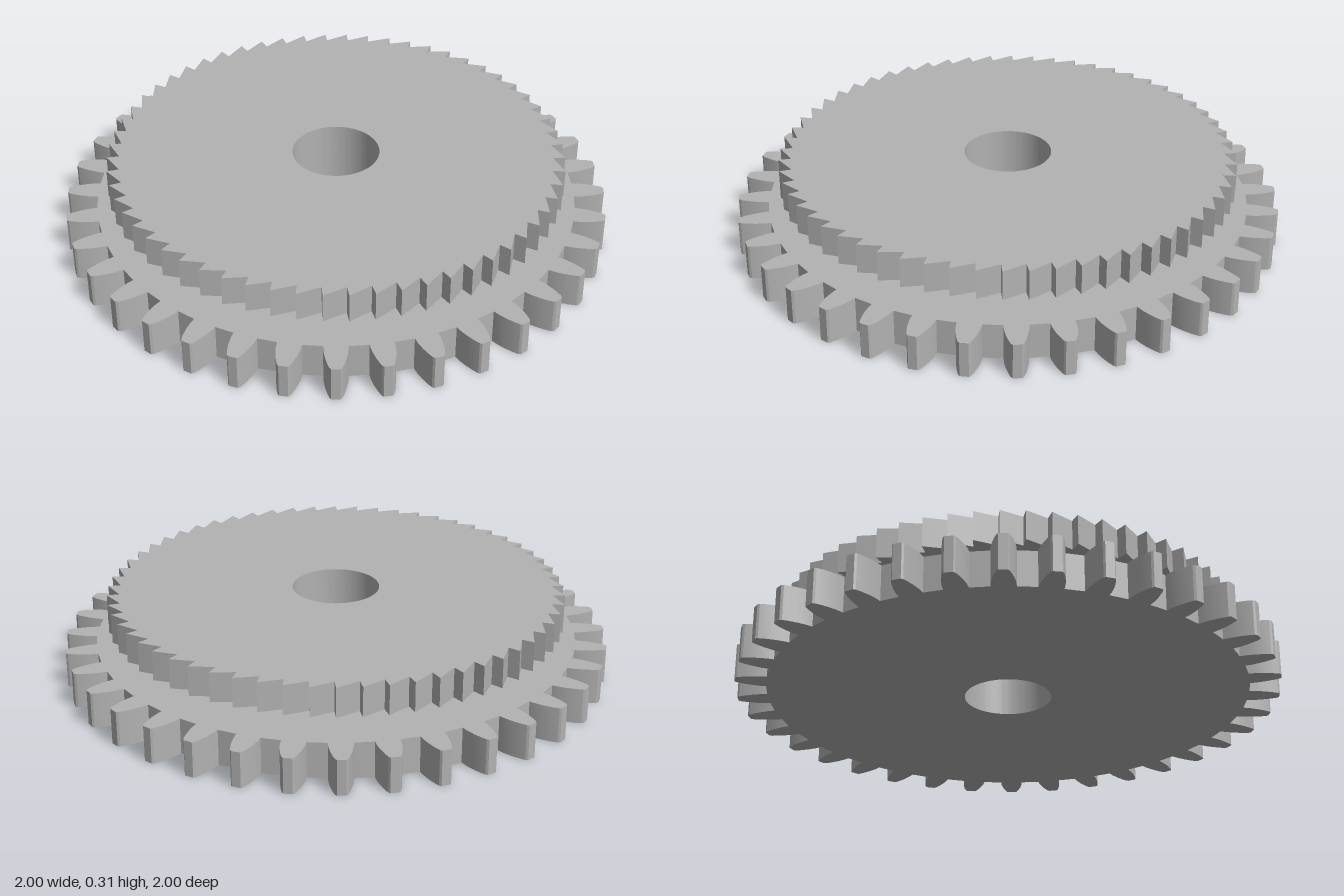
import * as THREE from 'three';
import { toCreasedNormals } from 'three/addons/utils/BufferGeometryUtils.js';

const BORE = 0.16;
const polar = (r, deg) => {
  const a = THREE.MathUtils.degToRad(deg);
  return new THREE.Vector2(r * Math.cos(a), r * Math.sin(a));
};

// Repeats one tooth, given as [radius, angle offset in degrees], around a circle
function toothedShape(count, phase, tooth) {
  const points = [];
  for (let i = 0; i < count; i++) {
    for (const [r, offset] of tooth) points.push(polar(r, phase + (i * 360) / count + offset));
  }
  return new THREE.Shape(points);
}

// Extrudes a flat outline upward from y0 to y1, with the shaft bore through it
function plate(name, shape, y0, y1, material) {
  shape.holes.push(new THREE.Path().absarc(0, 0, BORE, 0, Math.PI * 2, true));
  let geometry = new THREE.ExtrudeGeometry(shape, { depth: y1 - y0, bevelEnabled: false, curveSegments: 64 });
  geometry.rotateX(-Math.PI / 2);
  geometry.translate(0, y0, 0);
  geometry = toCreasedNormals(geometry, 0.35);
  const mesh = new THREE.Mesh(geometry, material);
  mesh.name = name;
  return mesh;
}

export function createModel() {
  const steel = new THREE.MeshStandardMaterial({ color: 0xb2b2b2 });
  steel.name = 'grey steel';

  // Spur gear: 36 teeth with curved flanks, a gap centred on each axis
  const flank = [[0.888, 2.75], [0.915, 2.6], [0.945, 2.22], [0.975, 1.7], [0.995, 1.25]];
  const spurTooth = [
    ...flank.map(([r, a]) => [r, -a]),
    [1.002, -0.9], [1.002, 0.9],
    ...flank.slice().reverse(),
  ];
  const spur = toothedShape(36, 5, spurTooth);

  // Ratchet: 60 saw teeth, each with a steep face and a long ramp
  const ratchet = toothedShape(60, 0, [[0.797, -0.4], [0.842, 0]]);

  // Plain round collar between the two wheels
  const collar = new THREE.Shape().absarc(0, 0, 0.215, 0, Math.PI * 2, false);

  const group = new THREE.Group();
  group.name = 'ratchetGear';
  group.add(
    plate('spurGear', spur, 0, 0.132, steel),
    plate('collar', collar, 0.132, 0.2, steel),
    plate('ratchetWheel', ratchet, 0.2, 0.31, steel),
  );
  return group;
}
